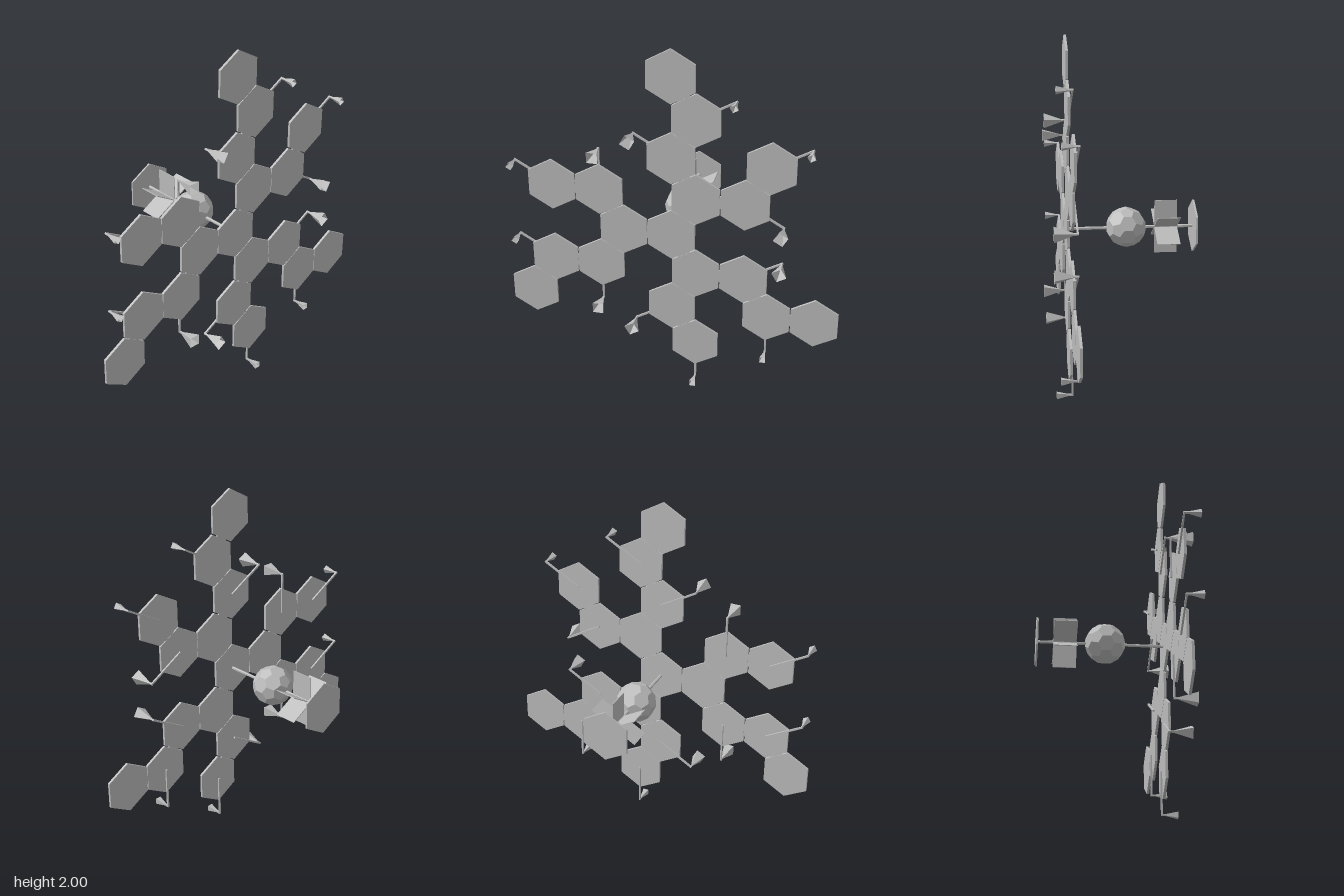
import * as THREE from 'three';
import { ConvexGeometry } from 'three/addons/geometries/ConvexGeometry.js';

const CORE_Y = 0.94, PLATE_Z = 0.302;
const HALF = 0.1315, ROW = 0.228, R = 0.1485;

const gray = new THREE.MeshStandardMaterial({ color: 0xbcbcbc, flatShading: true, side: THREE.DoubleSide });
gray.name = 'plain gray';

function add(parent, name, geometry, x = 0, y = 0, z = 0, rotZ = 0) {
  const mesh = new THREE.Mesh(geometry, gray);
  mesh.name = name;
  mesh.position.set(x, y, z);
  mesh.rotation.z = rotZ;
  parent.add(mesh);
  return mesh;
}

// Mirror cells as [column in half steps, row]
const CELLS = [
  [0, 4], [1, 3], [0, 2], [4, 2], [1, 1], [3, 1], [-3, 1], [-5, 1], [0, 0], [-2, 0],
  [1, -1], [3, -1], [-3, -1], [-5, -1], [0, -2], [4, -2], [6, -2], [-6, -2], [1, -3],
];
const cellPos = ([c, r]) => [c * HALF, CORE_Y + r * ROW];

// Nozzles as [column, row, direction in degrees, large?]
const NOZZLES = [
  [1, 3, 30, 0], [4, 2, 30, 0], [-5, 1, 150, 0], [-5, -1, 150, 0], [4, -2, 270, 0], [1, -3, 270, 0],
  [0, 2, 150, 1], [-3, 1, 90, 1], [-3, -1, 270, 1], [3, 1, -30, 1], [3, -1, 30, 1], [0, -2, 210, 1],
];

// Arm behind the plate, a short forward post and an open square horn
function makeNozzle(large) {
  const g = new THREE.Group();
  const reach = 0.237, armZ = 0.289, front = large ? 0.41 : 0.376, back = 0.304;
  const side = large ? 0.059 : 0.033;
  add(g, 'nozzleArm', new THREE.BoxGeometry(0.01, reach + 0.005, 0.01), 0, reach / 2, armZ);
  add(g, 'nozzlePost', new THREE.BoxGeometry(0.01, 0.01, 0.03), 0, reach, armZ + 0.01);
  const horn = new THREE.CylinderGeometry(side / Math.SQRT2, 0.005, front - back, 4, 1, true);
  horn.rotateY(Math.PI / 4).rotateX(Math.PI / 2);
  add(g, 'nozzleHorn', horn, 0, reach, (front + back) / 2);
  return g;
}

// Ball with pentagon and hexagon faces: points at thirds of icosahedron edges
function makeBallGeometry(radius) {
  const t = (1 + Math.sqrt(5)) / 2, v = [];
  for (const a of [-1, 1]) for (const b of [-t, t]) {
    v.push(new THREE.Vector3(a, b, 0), new THREE.Vector3(0, a, b), new THREE.Vector3(b, 0, a));
  }
  const points = [];
  for (const p of v) for (const q of v) {
    if (p !== q && p.distanceTo(q) < 2.1) points.push(p.clone().lerp(q, 1 / 3).setLength(radius));
  }
  return new ConvexGeometry(points);
}

export function createModel() {
  const model = new THREE.Group();
  model.name = 'segmentedMirrorSpacecraft';

  // Hexagonal plates
  const hex = new THREE.CylinderGeometry(R, R, 0.014, 6).rotateX(Math.PI / 2);
  const plates = new THREE.Group();
  plates.name = 'mirrorPlates';
  model.add(plates);
  for (const cell of CELLS) add(plates, 'hexPlate', hex, ...cellPos(cell), PLATE_Z);

  // Hinges across every gap between neighbouring plates
  const hingeGeometry = new THREE.BoxGeometry(0.01, 0.072, 0.01);
  const hinges = new THREE.Group();
  hinges.name = 'hinges';
  model.add(hinges);
  CELLS.forEach((a, i) => CELLS.slice(i + 1).forEach((b) => {
    const [ax, ay] = cellPos(a), [bx, by] = cellPos(b);
    if (Math.hypot(bx - ax, by - ay) > 0.28) return;
    add(hinges, 'hinge', hingeGeometry, (ax + bx) / 2, (ay + by) / 2, PLATE_Z, Math.atan2(by - ay, bx - ax));
  }));

  // Nozzles on the rim
  for (const [c, r, degrees, large] of NOZZLES) {
    const nozzle = makeNozzle(large);
    nozzle.name = large ? 'largeNozzle' : 'smallNozzle';
    nozzle.position.set(...cellPos([c, r]), 0);
    nozzle.rotation.z = THREE.MathUtils.degToRad(degrees - 90);
    model.add(nozzle);
  }

  // Boom, faceted body, radial fins and rear plate
  add(model, 'boom', new THREE.CylinderGeometry(0.009, 0.009, 0.7, 6).rotateX(Math.PI / 2), 0, CORE_Y, -0.05);
  add(model, 'body', makeBallGeometry(0.112), 0, CORE_Y + 0.003, -0.028);
  for (let i = 0; i < 3; i++) {
    add(model, 'radialFin', new THREE.BoxGeometry(0.004, R * 2, 0.128), 0, CORE_Y, -0.25, i * Math.PI / 3);
  }
  const rear = new THREE.CylinderGeometry(R, R, 0.01, 6).rotateX(Math.PI / 2);
  add(model, 'rearPlate', rear, 0, CORE_Y, -0.405);

  return model;
}
